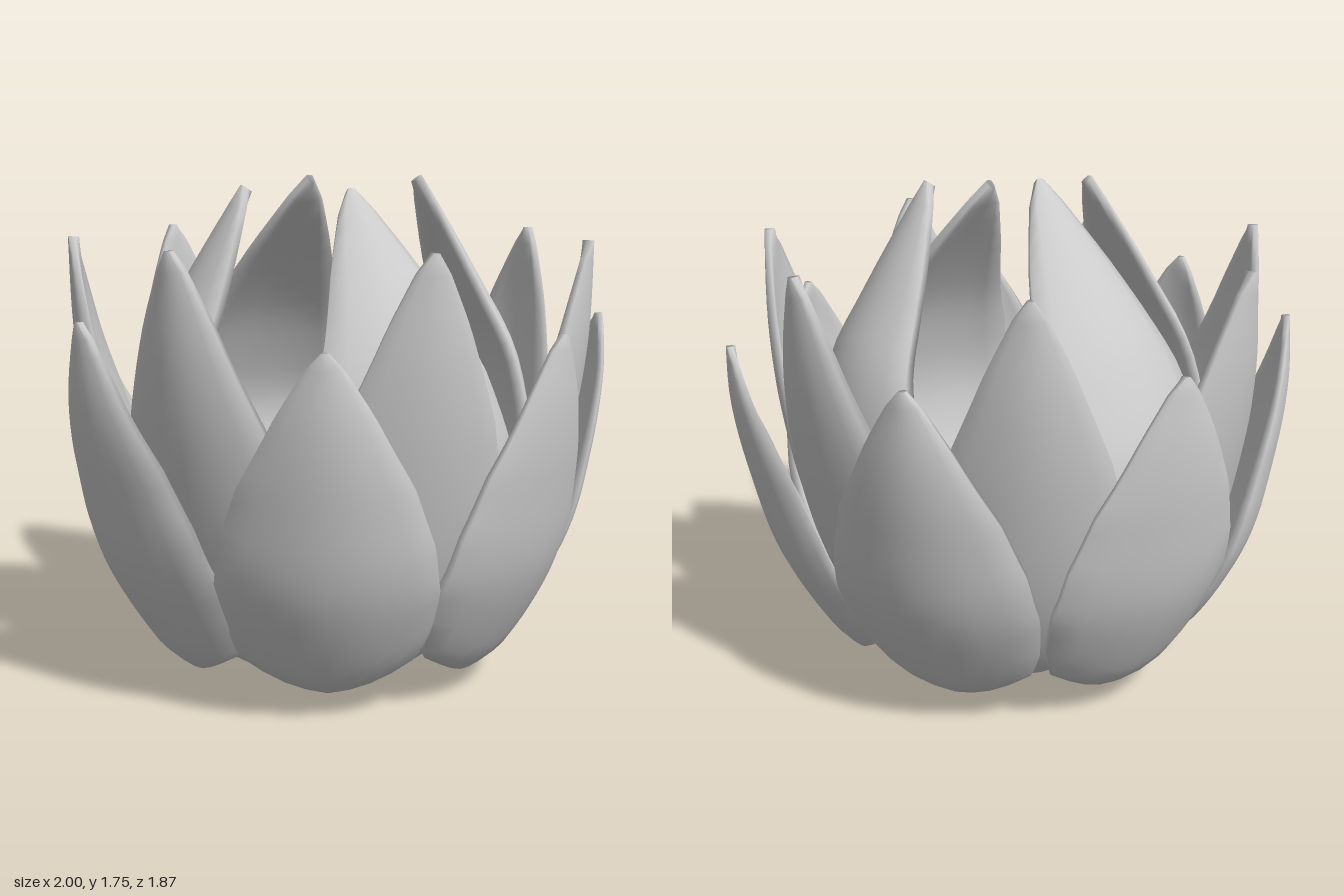
import * as THREE from 'three';

const material = new THREE.MeshStandardMaterial({ color: 0xcccccc });
const ROWS = 24, COLS = 8;

// Half width of a petal along its length, from base to tip
const widths = [[0, 0.28], [0.13, 0.335], [0.28, 0.36], [0.45, 0.34], [0.63, 0.272], [0.85, 0.14], [0.95, 0.065], [0.985, 0.035], [1, 0.012]];
function halfWidth(t) {
  let i = 0;
  while (i < widths.length - 2 && t > widths[i + 1][0]) i++;
  const [a, wa] = widths[i], [b, wb] = widths[i + 1];
  return wa + (wb - wa) * (t - a) / (b - a);
}

// A cupped, thick petal swept along a (radius, height) profile, facing +z
function petalGeometry(profile, widthScale, thickness, lean = 0) {
  const curve = new THREE.SplineCurve(profile.map(([r, y]) => new THREE.Vector2(r, y)));
  const loop = 2 * (COLS + 1), pos = [], index = [];
  const quad = (a, b, c, d) => index.push(a, b, c, a, c, d);

  for (let i = 0; i <= ROWS; i++) {
    const t = i / ROWS, w = halfWidth(t) * widthScale;
    for (let k = 0; k < loop; k++) {
      const inside = k > COLS;
      const u = (inside ? loop - 1 - k : k) / COLS * 2 - 1;
      // the sides of the base start higher, giving a pointed foot
      const s = Math.min(1, t + 0.08 * (1 - t) * Math.abs(u));
      const p = curve.getPointAt(s), d = curve.getTangentAt(s);
      const thick = thickness * (1 - 0.55 * u * u) * (1 - 0.65 * t);
      const inset = 0.32 * w * u * u + (inside ? thick : 0);
      pos.push(w * u * (inside ? 0.96 : 1) + lean * t * t, p.y + d.x * inset, p.x - d.y * inset);
    }
  }
  for (let i = 0; i < ROWS; i++) {
    for (let k = 0; k < loop; k++) {
      const n = (k + 1) % loop, a = i * loop, b = a + loop;
      quad(a + k, a + n, b + n, b + k);
    }
  }
  // close the foot and the tip
  const top = ROWS * loop;
  for (let k = 0; k < COLS; k++) {
    const m = loop - 1 - k;
    quad(k, m, m - 1, k + 1);
    quad(top + k, top + k + 1, top + m - 1, top + m);
  }
  const g = new THREE.BufferGeometry();
  g.setAttribute('position', new THREE.Float32BufferAttribute(pos, 3));
  g.setIndex(index);
  g.computeVertexNormals();
  return g;
}

function addPetal(parent, name, geometry, degrees) {
  const mesh = new THREE.Mesh(geometry, material);
  mesh.name = name;
  mesh.rotation.y = THREE.MathUtils.degToRad(degrees);
  parent.add(mesh);
}

function addRing(model, name) {
  const group = new THREE.Group();
  group.name = name;
  model.add(group);
  return group;
}

export function createModel() {
  const model = new THREE.Group();
  model.name = 'lotusFlower';

  // Seven outer petals: angle, tip radius, tip height
  const outer = addRing(model, 'outerRing');
  for (const [angle, tip, height] of [
    [26, 0.955, 1.28], [75, 1.025, 1.25], [126, 0.975, 1.28], [180, 0.935, 1.28],
    [-126, 0.975, 1.28], [-76, 1.025, 1.32], [-26, 0.955, 1.27],
  ]) {
    const flare = tip - 0.96;
    const profile = [[0.61, 0.075], [0.72, 0.18], [0.875 + 0.2 * flare, 0.48],
      [0.945 + 0.5 * flare, 0.8], [0.97 + 0.8 * flare, 1.05], [tip, height]];
    addPetal(outer, 'outerPetal', petalGeometry(profile, 1, 0.09), angle);
  }

  // Seven middle petals standing in the gaps
  const middle = addRing(model, 'middleRing');
  const middleGeometry = petalGeometry(
    [[0.45, 0.07], [0.6, 0.19], [0.755, 0.48], [0.86, 0.85], [0.915, 1.2], [0.925, 1.55]], 0.95, 0.11);
  for (let i = 0; i < 7; i++) addPetal(middle, 'middlePetal', middleGeometry, -5.5 + i * 360 / 7);

  // Four inner petals curling over the centre: angle, tip radius, tip height, sideways lean
  const inner = addRing(model, 'innerRing');
  for (const [angle, tip, height, lean] of [
    [3, 0.22, 1.72, -0.04], [85, 0.3, 1.76, -0.1], [184, 0.06, 1.76, 0.06], [267, 0.36, 1.73, 0.07],
  ]) {
    const profile = [[0.23, 0.005], [0.43, 0.15], [0.63, 0.46], [0.715, 0.82],
      [0.57 + 0.3 * tip, 1.15], [0.38 + 0.48 * tip, 1.4], [tip, height]];
    addPetal(inner, 'innerPetal', petalGeometry(profile, 1.17, 0.13, lean), angle);
  }

  // Eight-sided heart closing the centre
  const heart = new THREE.Mesh(new THREE.CylinderGeometry(0.25, 0.2, 0.15, 8), material);
  heart.name = 'heart';
  heart.rotation.y = Math.PI / 8;
  heart.position.set(0, 0.125, 0.03);
  model.add(heart);

  return model;
}
